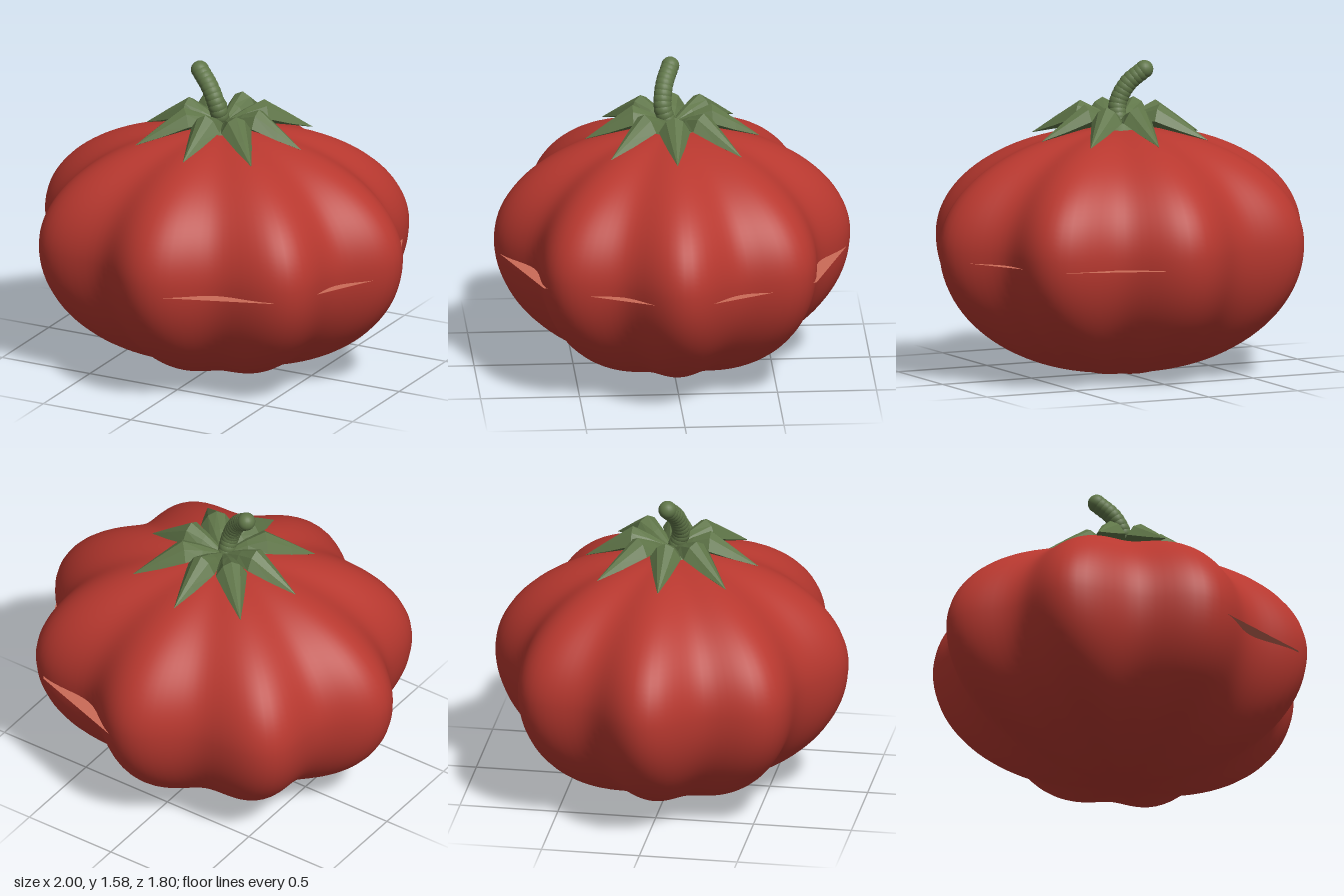
import * as THREE from 'three';
import { mergeVertices } from 'three/addons/utils/BufferGeometryUtils.js';

const red = new THREE.MeshStandardMaterial({ color: 0xb8382f });
red.name = 'skinRed';
const pale = new THREE.MeshStandardMaterial({ color: 0xcb6b57, side: THREE.DoubleSide });
pale.name = 'fleshPink';
const green = new THREE.MeshStandardMaterial({ color: 0x5f7548 });
green.name = 'stemGreen';
const leafGreen = green.clone();
leafGreen.flatShading = true;
leafGreen.name = 'leafGreen';

const add = (parent, name, geometry, material) => {
  const mesh = new THREE.Mesh(geometry, material);
  mesh.name = name;
  parent.add(mesh);
  return mesh;
};

// Squashed sphere with eight lobes, slightly shallower in z
function fruitGeometry() {
  let geo = new THREE.SphereGeometry(1, 128, 56);
  geo.deleteAttribute('uv');
  geo.deleteAttribute('normal');
  geo = mergeVertices(geo, 1e-4);
  const p = geo.attributes.position;
  for (let i = 0; i < p.count; i++) {
    const x = p.getX(i), y = p.getY(i), z = p.getZ(i);
    const lobe = 0.933 + 0.067 * Math.cos(8 * Math.atan2(z, x));
    p.setXYZ(i, x * lobe, 0.68 + y * (y > 0 ? 0.57 : 0.68), z * lobe * 0.9);
  }
  geo.computeVertexNormals();
  return geo;
}

// Pointed leaf along +x, lofted from six-sided sections
function leafGeometry() {
  // distance out, half width, crest y, edge y, underside y
  const sections = [
    [0.02, 0.018, 1.285, 1.275, 1.26],
    [0.11, 0.052, 1.335, 1.295, 1.26],
    [0.20, 0.08, 1.375, 1.295, 1.25],
    [0.32, 0.043, 1.29, 1.245, 1.225],
    [0.44, 0.001, 1.201, 1.2, 1.199],
  ];
  const pos = [], idx = [], n = 6;
  for (const [x, w, top, edge, under] of sections) {
    const shoulder = edge + (top - edge) * 0.72;
    pos.push(x, edge, w, x, shoulder, w * 0.55, x, top, 0,
      x, shoulder, -w * 0.55, x, edge, -w, x, under, 0);
  }
  for (let s = 0; s < sections.length - 1; s++) {
    for (let k = 0; k < n; k++) {
      const a = s * n + k, b = s * n + (k + 1) % n;
      idx.push(a, a + n, b, b, a + n, b + n);
    }
  }
  const geo = new THREE.BufferGeometry();
  geo.setAttribute('position', new THREE.Float32BufferAttribute(pos, 3));
  geo.setIndex(idx);
  geo.computeVertexNormals();
  return geo;
}

export function createModel() {
  const model = new THREE.Group();
  model.name = 'tomato';
  add(model, 'fruit', fruitGeometry(), red);

  // Thin flat webs bridging the grooves on the left side
  const half = [[0.1, 0.875], [0.63, 0.69], [0.775, 0.46], [0.99, 0.02]];
  const outline = [...half, ...half.map(([x, z]) => [x, -z]).reverse()];
  const web = new THREE.ShapeGeometry(
    new THREE.Shape(outline.map(([x, z]) => new THREE.Vector2(x, z))));
  web.rotateX(-Math.PI / 2);
  add(model, 'grooveWeb', web, pale).position.y = 0.63;

  // Ring of eight leaves
  const calyx = new THREE.Group();
  calyx.name = 'calyx';
  model.add(calyx);
  const leaf = leafGeometry();
  for (let i = 0; i < 8; i++) {
    const mesh = add(calyx, 'leaf', leaf, leafGreen);
    mesh.rotation.y = i * Math.PI / 4;
    if (i % 2) mesh.scale.set(1.06, 1, 1);
  }
  add(calyx, 'calyxBase', new THREE.CylinderGeometry(0.08, 0.12, 0.04, 24), green).position.y = 1.26;

  // Curved stem of overlapping beads
  const stem = new THREE.Group();
  stem.name = 'stem';
  model.add(stem);
  const path = new THREE.CatmullRomCurve3([
    new THREE.Vector3(0, 1.27, 0.02),
    new THREE.Vector3(-0.01, 1.36, 0.047),
    new THREE.Vector3(-0.06, 1.46, 0.035),
    new THREE.Vector3(-0.137, 1.533, 0),
  ]);
  const bead = new THREE.SphereGeometry(0.046, 20, 14);
  const beads = 13;
  for (let i = 0; i < beads; i++) {
    add(stem, 'stemBead', bead, green).position.copy(path.getPointAt(i / (beads - 1)));
  }
  return model;
}
